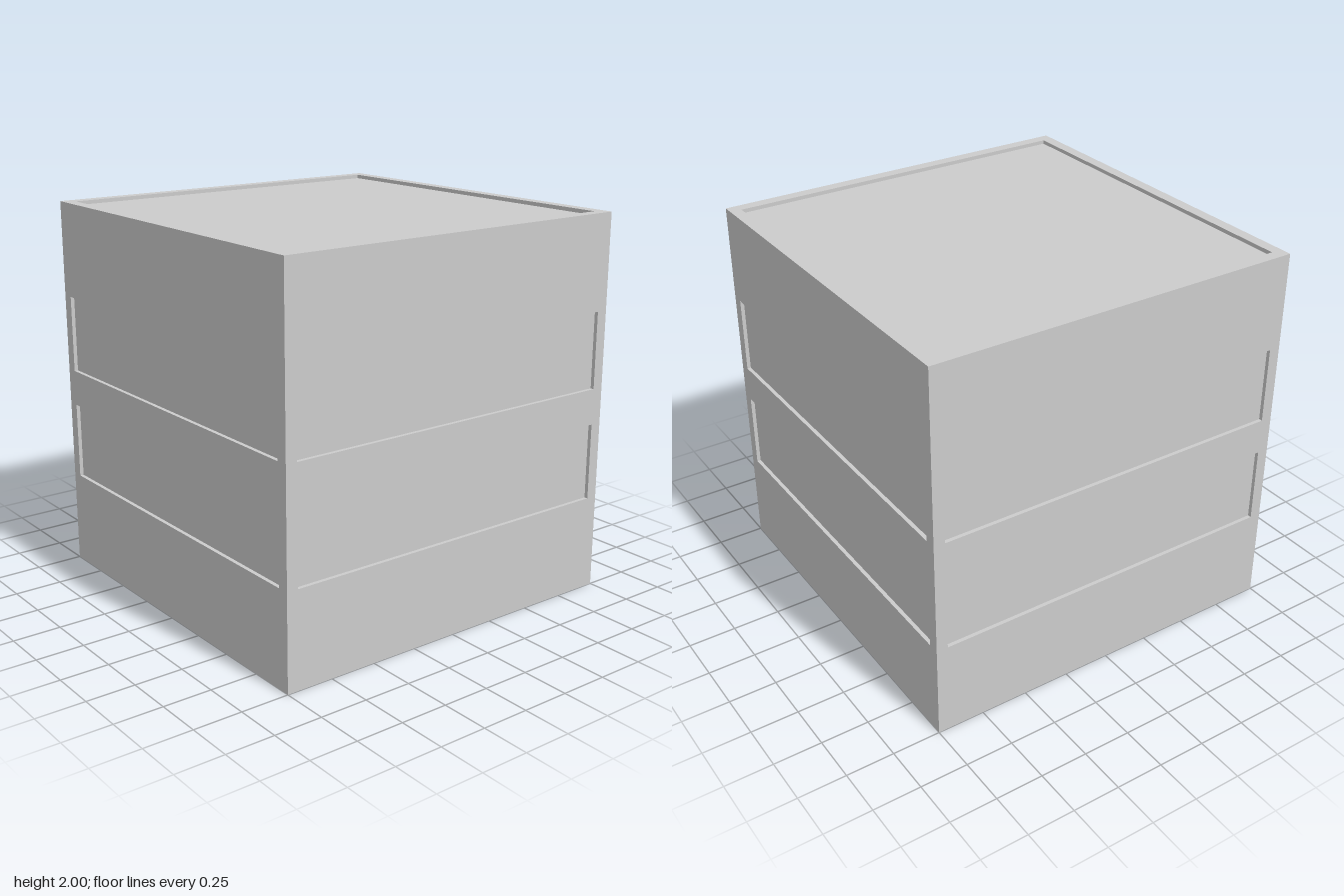
import * as THREE from 'three';

const HALF = 1;
const DEPTH = 0.02; // depth of every recess
const EDGE = 0.94; // half-width of every recess

const material = new THREE.MeshStandardMaterial({ color: 0xcccccc, flatShading: true });

function rectangle(target, x0, y0, x1, y1) {
  target.moveTo(x0, y0).lineTo(x1, y0).lineTo(x1, y1).lineTo(x0, y1).closePath();
  return target;
}

// Open tray facing +z: a box turned inside out with its front removed
function recessGeometry(y0, y1) {
  const box = new THREE.BoxGeometry(2 * EDGE, y1 - y0, DEPTH);
  const index = Array.from(box.index.array);
  index.splice(24, 6);
  box.setIndex(index.reverse());
  box.clearGroups();
  box.computeVertexNormals();
  return box.translate(0, (y0 + y1) / 2, HALF - DEPTH / 2);
}

// One side of the cube: a flat frame with recessed panels
function createFace(name, recesses) {
  const face = new THREE.Group();
  face.name = name;

  const outline = rectangle(new THREE.Shape(), -HALF, -HALF, HALF, HALF);
  for (const [y0, y1] of recesses) {
    outline.holes.push(rectangle(new THREE.Path(), -EDGE, y0, EDGE, y1));
    const panel = new THREE.Mesh(recessGeometry(y0, y1), material);
    panel.name = 'recessedPanel';
    face.add(panel);
  }

  const frame = new THREE.Mesh(new THREE.ShapeGeometry(outline).translate(0, 0, HALF), material);
  frame.name = 'frame';
  face.add(frame);
  return face;
}

export function createModel() {
  const model = new THREE.Group();
  model.name = 'panelledCube';

  // Four walls, each with two long horizontal panels
  const bands = [[-0.5, -0.095], [0.095, 0.5]];
  ['frontFace', 'leftFace', 'backFace', 'rightFace'].forEach((name, i) => {
    const wall = createFace(name, bands);
    wall.rotation.y = (i * Math.PI) / 2;
    wall.position.y = HALF;
    model.add(wall);
  });

  // Top and bottom, each with one large square panel
  for (const [name, turn] of [['topFace', -1], ['bottomFace', 1]]) {
    const cap = createFace(name, [[-EDGE, EDGE]]);
    cap.rotation.x = (turn * Math.PI) / 2;
    cap.position.y = HALF;
    model.add(cap);
  }
  return model;
}
